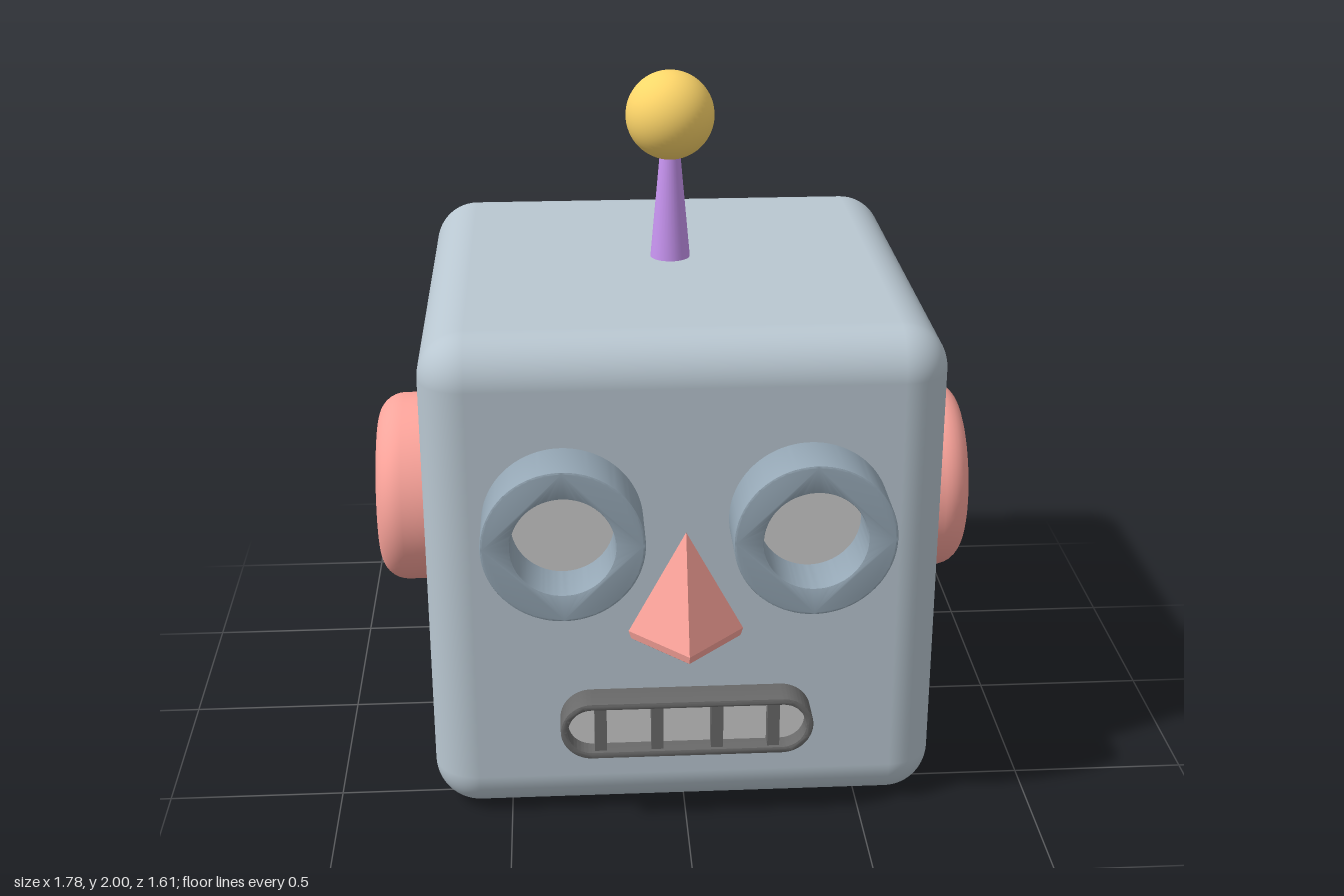
import * as THREE from 'three';
import { RoundedBoxGeometry } from 'three/addons/geometries/RoundedBoxGeometry.js';
import { toCreasedNormals } from 'three/addons/utils/BufferGeometryUtils.js';

const material = (color, flatShading = false) => new THREE.MeshStandardMaterial({ color, flatShading });
const shell = material(0xb9c7d1);
const pink = material(0xfda59c);
const steel = material(0x95a7b5);
const dark = material(0x696969);
const grey = material(0xcccccc);

// Horizontal stadium outline; a length of 0 gives a circle
function stadium(half, r, Type = THREE.Shape) {
  const s = new Type();
  s.absarc(half, 0, r, -Math.PI / 2, Math.PI / 2, false);
  s.absarc(-half, 0, r, Math.PI / 2, Math.PI * 1.5, false);
  s.closePath();
  return s;
}

// Hollow frame standing forward along +z with slightly softened edges
function frame(half, outer, inner, depth) {
  const bevel = 0.006;
  const s = stadium(half, outer);
  s.holes.push(stadium(half, inner, THREE.Path));
  const g = new THREE.ExtrudeGeometry(s, {
    depth: depth - bevel, curveSegments: 32, bevelSize: bevel, bevelThickness: bevel,
    bevelOffset: -bevel, bevelSegments: 2,
  });
  return toCreasedNormals(g, 0.6);
}

export function createModel() {
  const model = new THREE.Group();
  const add = (name, geometry, mat, x, y, z, parent = model) => {
    const mesh = new THREE.Mesh(geometry, mat);
    mesh.name = name;
    mesh.position.set(x, y, z);
    parent.add(mesh);
    return mesh;
  };

  // Head
  add('head', new RoundedBoxGeometry(1.44, 1.445, 1.445, 8, 0.13), shell, 0, 0.7225, -0.0775);

  // Antenna
  add('antennaStem', new THREE.CylinderGeometry(0.027, 0.06, 0.36, 32), material(0xc995f2), 0, 1.61, -0.1);
  add('antennaBall', new THREE.SphereGeometry(0.129, 48, 32), material(0xffd76a), 0, 1.871, -0.1);

  // Ear profile: disc with a rounded outer rim
  const r = 0.287, round = 0.08, length = 0.22;
  const profile = [new THREE.Vector2(r, 0)];
  for (let i = 0; i <= 8; i++) {
    const a = (i / 8) * Math.PI / 2;
    profile.push(new THREE.Vector2(r - round + round * Math.cos(a), length - round + round * Math.sin(a)));
  }
  profile.push(new THREE.Vector2(0, length));
  const earGeometry = toCreasedNormals(new THREE.LatheGeometry(profile, 64), 0.5);

  // Paired ears and eyes
  for (const [side, sx] of [['left', 1], ['right', -1]]) {
    const ear = add(side + 'Ear', earGeometry, pink, sx * 0.67, 0.724, -0.083);
    ear.rotation.z = -sx * Math.PI / 2;

    const eye = new THREE.Group();
    eye.name = side + 'Eye';
    eye.position.set(sx * 0.337, 0.933, 0.6);
    model.add(eye);
    add('eyeRim', frame(0, 0.22, 0.14, 0.203), steel, 0, 0, 0, eye);
    const lens = add('eyeLens', new THREE.CylinderGeometry(0.145, 0.145, 0.05, 48), grey, 0, 0, 0.035, eye);
    lens.rotation.x = Math.PI / 2;
  }

  // Nose: four-sided pyramid with one ridge forward and a chamfered foot
  const nosePoints = [[0, 0.56], [0.145, 0.56], [0.163, 0.57], [0.17, 0.593], [0, 0.912]]
    .map(([x, y]) => new THREE.Vector2(x, y));
  add('nose', new THREE.LatheGeometry(nosePoints, 4), material(0xfda59c, true), 0, 0, 0.635);

  // Mouth
  const mouth = new THREE.Group();
  mouth.name = 'mouth';
  mouth.position.set(0, 0.322, 0.6);
  model.add(mouth);
  add('mouthFrame', frame(0.267, 0.088, 0.067, 0.13), dark, 0, 0, 0, mouth);
  add('teeth', new THREE.ExtrudeGeometry(stadium(0.267, 0.07), {
    depth: 0.08, bevelEnabled: false, curveSegments: 24,
  }), grey, 0, 0, 0, mouth);
  for (const x of [-0.243, -0.084, 0.084, 0.243]) {
    add('mouthBar', new THREE.BoxGeometry(0.034, 0.14, 0.12), dark, x, 0, 0.06, mouth);
  }

  return model;
}
